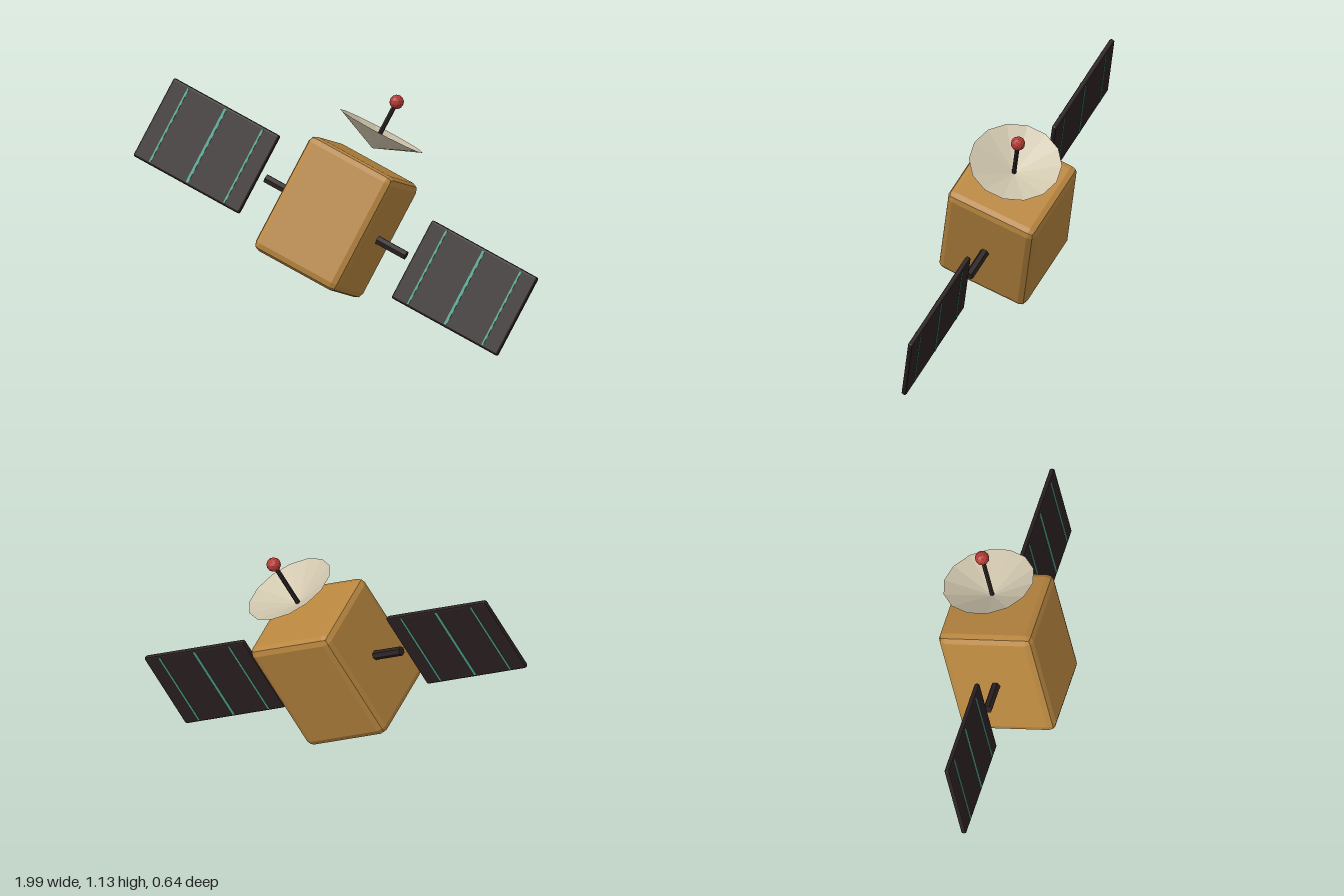
import * as THREE from 'three';
import { RoundedBoxGeometry } from 'three/addons/geometries/RoundedBoxGeometry.js';

const mat = (name, color, extra = {}) => {
  const m = new THREE.MeshStandardMaterial({ color, flatShading: true, ...extra });
  m.name = name;
  return m;
};

export function createModel() {
  const gold = mat('goldFoil', 0xb8863f);
  const dark = mat('darkPanel', 0x2b2122);
  const teal = mat('tealStripe', 0x4fa590);
  const cream = mat('creamDish', 0xcfc5ad, { side: THREE.DoubleSide });
  const red = mat('redTip', 0xb23a35);

  const model = new THREE.Group();
  model.name = 'satellite';

  // everything is built upright around the body centre, then tilted
  const craft = new THREE.Group();
  craft.name = 'craft';
  craft.position.set(0, 0.576, 0.017);
  craft.rotation.set(-0.314, 0, -0.402, 'ZYX');
  model.add(craft);

  const add = (name, geometry, material, x = 0, y = 0, z = 0, parent = craft) => {
    const mesh = new THREE.Mesh(geometry, material);
    mesh.name = name;
    mesh.position.set(x, y, z);
    parent.add(mesh);
    return mesh;
  };

  // body with softened edges
  add('body', new RoundedBoxGeometry(0.46, 0.595, 0.46, 1, 0.035), gold);

  // boom and solar panel on each side
  for (const [side, s] of [['left', 1], ['right', -1]]) {
    const boom = add(side + 'Boom', new THREE.CylinderGeometry(0.022, 0.022, 0.185, 6), dark, s * 0.2925);
    boom.rotation.z = Math.PI / 2;

    const wing = new THREE.Group();
    wing.name = side + 'SolarWing';
    wing.position.x = s * 0.709;
    craft.add(wing);
    add(side + 'Panel', new RoundedBoxGeometry(0.583, 0.408, 0.026, 1, 0.01), dark, 0, 0, 0, wing);

    // stripes on both faces of the panel
    for (const dx of [-0.204, 0, 0.204]) {
      for (const f of [1, -1]) {
        add(side + 'Stripe', new THREE.BoxGeometry(dx ? 0.009 : 0.013, 0.384, 0.003), teal, dx, 0, f * 0.0135, wing);
      }
    }
  }

  // shallow dish, feed rod and tip
  const dishProfile = [[0, 0.36], [0.216, 0.45]].map(([r, y]) => new THREE.Vector2(r, y));
  add('dish', new THREE.LatheGeometry(dishProfile, 14), cream);
  add('feedRod', new THREE.CylinderGeometry(0.011, 0.011, 0.225, 6), dark, 0, 0.48, 0);
  add('feedTip', new THREE.IcosahedronGeometry(0.034, 1), red, 0, 0.602, 0);

  return model;
}
